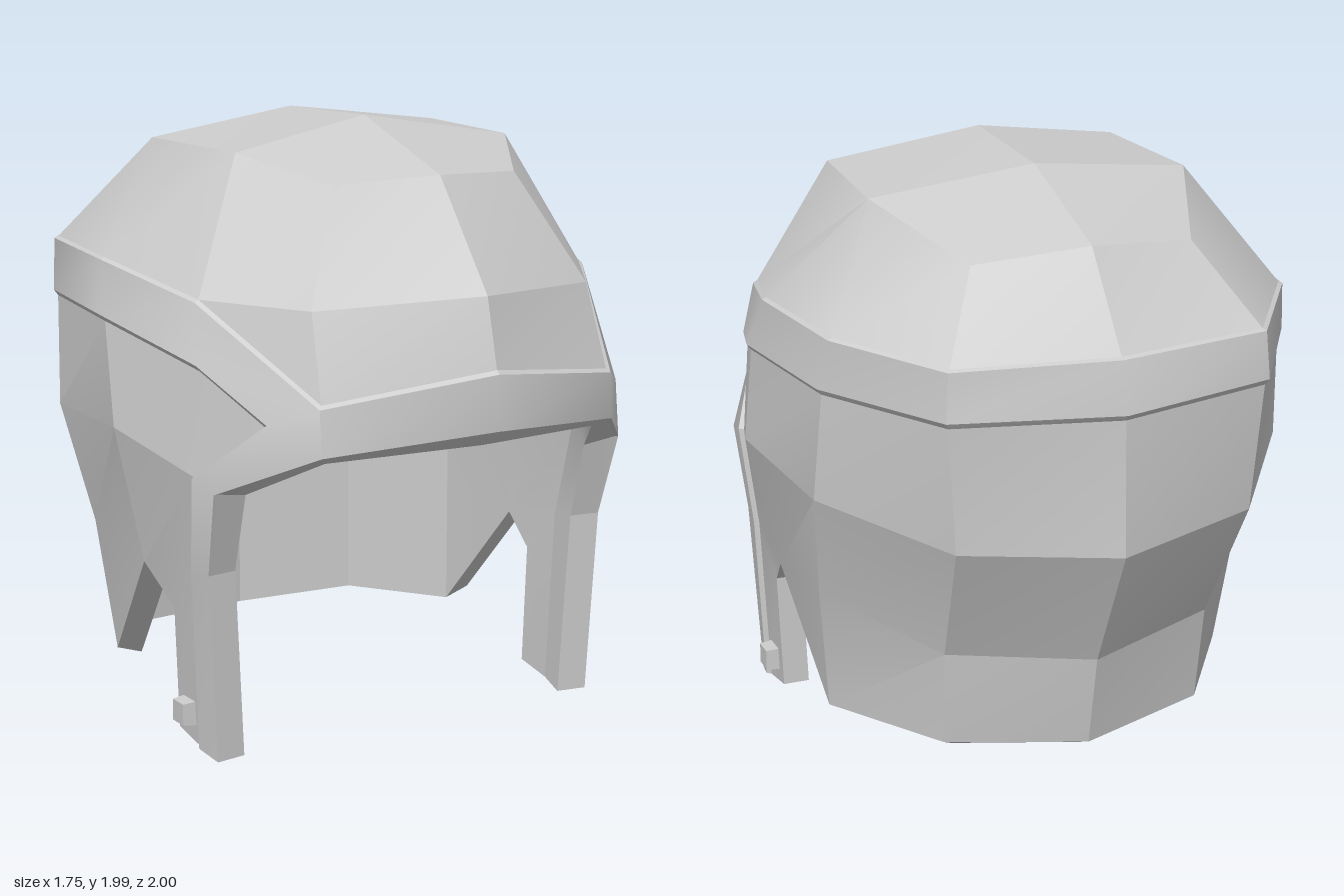
import * as THREE from 'three';
import { mergeGeometries, toCreasedNormals } from 'three/addons/utils/BufferGeometryUtils.js';

// Control points of the left half, in rings running from the front to the back
const rings = {
  // upper edge of the band
  U: [[0, 1.28, 0.985], [0.53, 1.2, 0.83], [0.72, 1.475, 0.41], [0.825, 1.555, -0.03], [0.765, 1.555, -0.5], [0.52, 1.535, -0.86], [0, 1.535, -0.945]],
  // brow of the crown
  M: [[0, 1.5, 0.93], [0.51, 1.47, 0.74]],
  // shoulder of the crown, then its ridge
  C: [[0, 1.84, 0.66], [0.34, 1.82, 0.57], [0.51, 1.9, 0.27], [0.545, 1.9, -0.23], [0.37, 1.78, -0.65], [0, 1.82, -0.72]],
  T: [[0, 1.985, 0.21], [0, 1.97, -0.27]],
  // lower front edge of the band
  L: [[0, 1.09, 0.985], [0.53, 1.04, 0.84], [0.755, 0.9, 0.585]],
  // lower side and back edge of the band, starting at its notch
  Q: [[0.642, 1.112, 0.71], [0.745, 1.262, 0.46], [0.86, 1.362, 0.04], [0.79, 1.362, -0.46], [0.53, 1.352, -0.87], [0, 1.345, -0.985]],
  // front, rear and back edges of the cheek strap
  F: [[0.735, 0.62, 0.51], [0.702, 0, 0.5]],
  R: [[0.77, 0.93, 0.46], [0.745, 0.6, 0.4], [0.72, 0.02, 0.395]],
  K: [[0.735, 0.45, 0.25], [0.72, 0.045, 0.25]],
  // neck guard: widest ring, lower ring, bottom edge
  N: [[0.87, 1.03, 0.11], [0.81, 1.0, -0.42], [0.5, 0.93, -0.85], [0, 0.9, -1]],
  O: [[0.765, 0.57, 0.1], [0.755, 0.62, -0.28], [0.46, 0.5, -0.64], [0, 0.47, -0.8]],
  E: [[0.71, 0.18, -0.22], [0.45, 0.17, -0.6], [0, 0.15, -0.74]],
};

// Lining: brow edge, and an upright wall behind it given by its plan
const browLining = [[0, 1.03, 0.91], [0.5, 1.01, 0.8], [0.645, 0.88, 0.565]];
const wallPlan = [[0.67, 0.1], [0.62, -0.22], [0.41, -0.56], [0, -0.65]];
const wallColumn = { O: 0, N: 0, E: 1, Q: -2, U: -3 };

// Slope of the raised band's lips
const lip = { U: [0, -0.012, 0], Q: [0, 0.018, 0], R: [0, 0, 0.014] };

// Faces as point names, counter-clockwise from outside
const crownFaces = ['U0 U1 M1 M0', 'U1 U2 M1', 'M0 M1 C1 C0', 'M1 U2 C2 C1',
  'U5 U6 C5 C4', 'C0 C1 C2 T0', 'T0 C2 C3 T1', 'T1 C3 C4 C5'];
const crownSides = ['U2 U3 C3 C2', 'U3 U4 C3', 'U4 U5 C4 C3'];
const bandFaces = ['L0 L1 U1 U0', 'L1 Q0 U1', 'L1 L2 Q0', 'L2 R0 Q0', 'Q0 Q1 U2 U1', 'Q1 Q2 U3 U2',
  'Q2 Q3 U4 U3', 'Q3 Q4 U5 U4', 'Q4 Q5 U6 U5', 'F0 R1 R0 L2', 'F1 R2 R1 F0'];
const guardFaces = ['Q0 R0 Q1', 'R0 N0 Q2 Q1', 'R1 O0 N0 R0', 'R1 K0 O0', 'R2 K1 K0 R1',
  'N0 N1 Q3 Q2', 'N1 N2 Q4 Q3', 'N2 N3 Q5 Q4', 'O0 O1 N1 N0', 'O1 O2 N2 N1', 'O2 O3 N3 N2',
  'O0 E0 O1', 'E0 E1 O2 O1', 'E1 E2 O3 O2'];

const base = (name) => rings[name.at(-2)][+name.at(-1)];
const mirrored = (name) => (base(name)[0] === 0 ? name : '-' + name);

// Position of a named point pushed outward, or inward to the lining
function place(name, offset) {
  const ring = name.at(-2);
  const index = +name.at(-1);
  const p = new THREE.Vector3(...base(name));
  const wall = wallPlan[wallColumn[ring] + index];
  if (offset < 0 && ring === 'L') {
    p.fromArray(browLining[index]);
  } else if (offset < 0 && wall) {
    p.set(wall[0], p.y - 0.03, wall[1]);
  } else {
    const up = p.y > 1 ? 2 * (p.y - 1) ** 3 : 0;
    p.addScaledVector(new THREE.Vector3(p.x / 0.85, up, p.z ** 3).normalize(), offset);
  }
  if (offset > 0 && lip[ring]) p.add(new THREE.Vector3(...lip[ring]));
  if (name[0] === '-') p.x *= -1;
  return p;
}

// Geometry from polygons, smooth across edges shallower than the crease angle
function creased(polygons, angle) {
  const positions = [];
  for (const pts of polygons) {
    for (let i = 1; i < pts.length - 1; i++) {
      for (const p of [pts[0], pts[i], pts[i + 1]]) positions.push(p.x, p.y, p.z);
    }
  }
  const geometry = new THREE.BufferGeometry();
  geometry.setAttribute('position', new THREE.Float32BufferAttribute(positions, 3));
  return toCreasedNormals(geometry, angle);
}

// Closed symmetric shell: outer skin, lining and a rim along every open edge
function shell(name, facetedFaces, smoothFaces, levels, material) {
  const faceted = [];
  const smooth = [];
  const edges = new Set();
  const addSkins = (halfFaces, polygons) => {
    for (const text of halfFaces) {
      const half = text.split(' ');
      for (const face of [half, half.map(mirrored).reverse()]) {
        face.forEach((a, i) => edges.add(a + ' ' + face[(i + 1) % face.length]));
        polygons.push(face.map((n) => place(n, levels[0])));
        polygons.push(face.map((n) => place(n, levels.at(-1))).reverse());
      }
    }
  };
  addSkins(facetedFaces, faceted);
  addSkins(smoothFaces, smooth);
  for (const edge of edges) {
    const [a, b] = edge.split(' ');
    if (edges.has(b + ' ' + a)) continue;
    for (let i = 1; i < levels.length; i++) {
      faceted.push([place(b, levels[i - 1]), place(a, levels[i - 1]), place(a, levels[i]), place(b, levels[i])]);
    }
  }
  const geometry = mergeGeometries([creased(faceted, 0.22), creased(smooth, 0.7)]);
  const mesh = new THREE.Mesh(geometry, material);
  mesh.name = name;
  return mesh;
}

export function createModel() {
  const model = new THREE.Group();
  model.name = 'helmet';
  const material = new THREE.MeshStandardMaterial({ color: 0xcccccc });

  model.add(shell('crown', crownFaces, crownSides, [0, -0.09], material));
  model.add(shell('bandAndCheekStraps', [], bandFaces, [0.015, 0, -0.09], material));
  model.add(shell('neckGuard', guardFaces, [], [0, -0.09], material));

  // Tapered square studs near the foot of each cheek strap
  for (const side of [1, -1]) {
    const shape = new THREE.CylinderGeometry(0.05, 0.058, 0.06, 4, 1).toNonIndexed();
    shape.rotateY(Math.PI / 4).rotateZ((-side * Math.PI) / 2).computeVertexNormals();
    const stud = new THREE.Mesh(shape, material);
    stud.position.set(side * 0.738, 0.125, 0.33);
    stud.name = side > 0 ? 'leftStud' : 'rightStud';
    model.add(stud);
  }
  return model;
}
